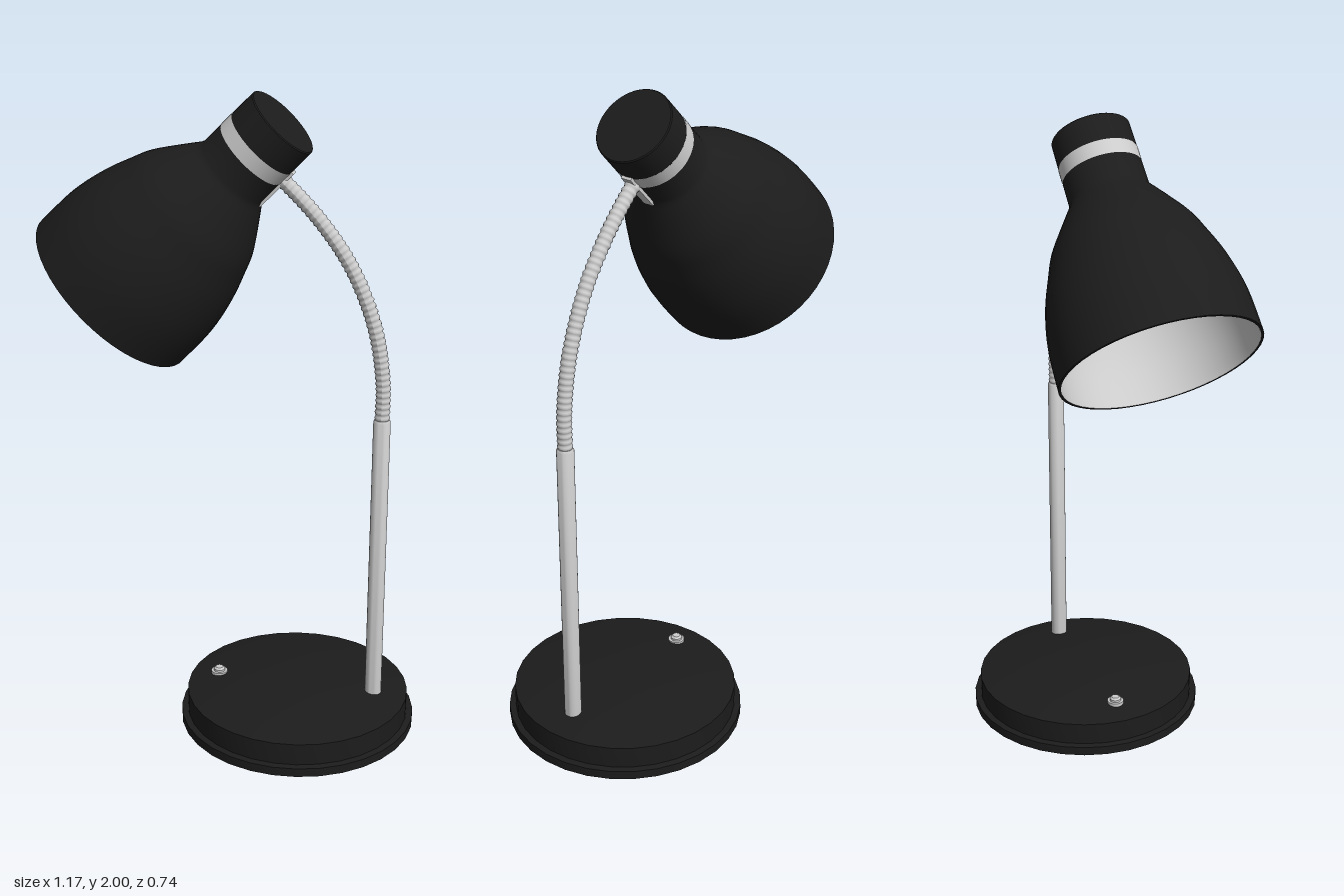
import * as THREE from 'three';
import { toCreasedNormals } from 'three/addons/utils/BufferGeometryUtils.js';

const black = new THREE.MeshStandardMaterial({ color: 0x1c1c1c });
const grey = new THREE.MeshStandardMaterial({ color: 0xcccccc });

function add(parent, name, geometry, material, x = 0, y = 0, z = 0) {
  const mesh = new THREE.Mesh(geometry, material);
  mesh.name = name;
  mesh.position.set(x, y, z);
  parent.add(mesh);
  return mesh;
}

// Solid of revolution from [radius, height] pairs; ascending heights face outwards
function lathe(points, segments = 48) {
  const profile = points.map(([r, y]) => new THREE.Vector2(r, y));
  return toCreasedNormals(new THREE.LatheGeometry(profile, segments), 0.6);
}

// Flexible tube whose radius swells and shrinks along the path
function ribbedTube(path, radius, ribs) {
  const rings = ribs * 4, sides = 14;
  const geometry = new THREE.TubeGeometry(path, rings, radius, sides);
  const pos = geometry.attributes.position, v = new THREE.Vector3();
  for (let i = 0; i <= rings; i++) {
    const centre = path.getPointAt(i / rings);
    const scale = 0.94 + 0.08 * Math.cos((i / 4) * Math.PI * 2);
    for (let j = 0; j <= sides; j++) {
      const k = i * (sides + 1) + j;
      v.fromBufferAttribute(pos, k).sub(centre).multiplyScalar(scale).add(centre);
      pos.setXYZ(k, v.x, v.y, v.z);
    }
  }
  geometry.computeVertexNormals();
  return geometry;
}

export function createModel() {
  const lamp = new THREE.Group();
  lamp.name = 'deskLamp';

  // Weighted foot with a lip and a gently domed top
  add(lamp, 'base', lathe([
    [0, 0], [0.37, 0], [0.37, 0.028], [0.35, 0.03], [0.35, 0.1],
    [0.27, 0.114], [0.18, 0.124], [0.09, 0.13], [0, 0.132],
  ], 32), black, 0.212);

  // Push switch
  add(lamp, 'switchCollar', new THREE.CylinderGeometry(0.026, 0.026, 0.03, 20), grey, -0.045, 0.108);
  add(lamp, 'switchButton', lathe([[0.018, 0], [0.018, 0.01], [0.012, 0.016], [0, 0.018]], 20),
    grey, -0.045, 0.12);

  // Rigid pole
  add(lamp, 'pole', lathe([[0.026, 0.1], [0.026, 1.035], [0.022, 1.042], [0, 1.042]], 24), grey, 0.456);

  // Flexible neck from the pole to the lamp head
  const path = new THREE.CatmullRomCurve3([
    [0.456, 1.03], [0.455, 1.16], [0.425, 1.33], [0.355, 1.5], [0.26, 1.635], [0.16, 1.738], [0.1, 1.79],
  ].map(([x, y]) => new THREE.Vector3(x, y, 0)));
  add(lamp, 'gooseneck', ribbedTube(path, 0.023, 48), grey);

  // Tilted head: local y runs from the rim to the cap, local +x is the underside
  const head = new THREE.Group();
  head.name = 'head';
  head.position.set(-0.37, 1.384, 0);
  head.rotation.z = -0.768;
  lamp.add(head);

  const curve = new THREE.SplineCurve([
    [0.297, 0], [0.292, 0.13], [0.27, 0.24], [0.238, 0.33], [0.213, 0.39], [0.168, 0.46], [0.125, 0.522],
  ].map(([r, y]) => new THREE.Vector2(r, y)));
  const wall = curve.getPoints(24).map((p) => [p.x, p.y]);
  const inner = wall.map(([r, y]) => [r - 0.008, y]);

  add(head, 'shade', lathe([inner[0], ...wall, [0.12, 0.535], [0.119, 0.612]]), black);
  add(head, 'shadeLining', lathe([[0, 0.522], ...inner.reverse()]), grey);
  add(head, 'band', new THREE.CylinderGeometry(0.12, 0.12, 0.046, 48, 1, true), grey, 0, 0.633);
  add(head, 'cap', lathe([[0, 0.655], [0.119, 0.655], [0.118, 0.74], [0.115, 0.743], [0, 0.743]]), black);

  // Bracket where the flexible neck meets the head
  add(head, 'bracket', new THREE.BoxGeometry(0.016, 0.14, 0.036), grey, 0.119, 0.592);

  // Socket and bulb inside the shade
  add(head, 'socket', new THREE.CylinderGeometry(0.055, 0.055, 0.13, 28), black, 0, 0.46);
  add(head, 'bulb', lathe([
    [0, 0.15], [0.045, 0.16], [0.078, 0.19], [0.09, 0.23], [0.08, 0.28], [0.055, 0.34], [0.042, 0.4],
  ], 28), grey);

  return lamp;
}
